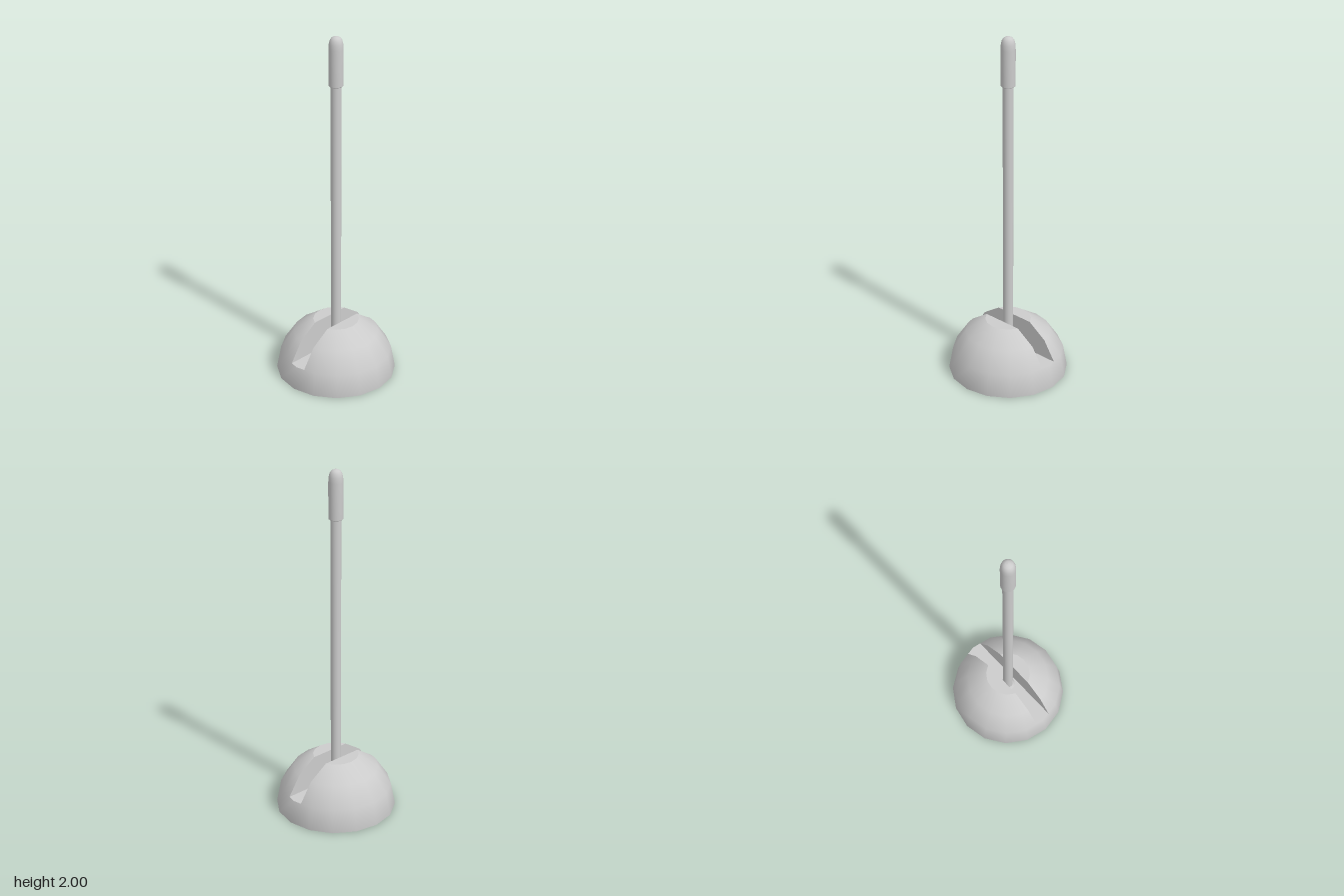
import * as THREE from 'three';

const SIDES = 16;
const SLOT = 0.05; // half width of the slot
const RINGS = [[0.318, 0.131], [0.243, 0.243], [0.131, 0.318]]; // radius, height

export function createModel() {
  const model = new THREE.Group();
  const material = new THREE.MeshStandardMaterial({ color: 0xcccccc });

  function add(name, geometry, parent = model) {
    const mesh = new THREE.Mesh(geometry, material);
    mesh.name = name;
    parent.add(mesh);
    return mesh;
  }

  // Flat convex face from its corners, in counter-clockwise order
  function flatFace(points) {
    const corners = [];
    for (let i = 1; i < points.length - 1; i++) corners.push(points[0], points[i], points[i + 1]);
    const geometry = new THREE.BufferGeometry().setFromPoints(corners);
    geometry.computeVertexNormals();
    return geometry;
  }

  // Half of a faceted ring, cut off at the slot wall
  function halfRing([r, y]) {
    const points = [];
    const step = (Math.PI * 2) / SIDES;
    for (let i = 0; i <= SIDES / 2; i++) {
      points.push(new THREE.Vector3(r * Math.sin(i * step), y, r * Math.cos(i * step)));
    }
    const last = points.length - 1;
    const t = Math.min(1, SLOT / points[1].x);
    points[0].lerp(points[1], t);
    points[last].lerp(points[last - 1], t);
    return points;
  }

  // Base of the dome, with normals that continue the sphere
  const base = new THREE.CylinderGeometry(RINGS[0][0], 0.343, RINGS[0][1], SIDES);
  base.translate(0, RINGS[0][1] / 2, 0);
  const v = new THREE.Vector3();
  for (let i = 0; i < 2 * (SIDES + 1); i++) {
    v.fromBufferAttribute(base.attributes.position, i).normalize();
    base.attributes.normal.setXYZ(i, v.x, v.y, v.z);
  }
  add('domeBase', base);

  // Two upper halves of the dome on either side of the slot
  const rings = RINGS.map(halfRing);
  const count = rings[0].length;
  const skin = new THREE.BufferGeometry().setFromPoints(rings.flat());
  const index = [];
  for (let j = 0; j < rings.length - 1; j++) {
    for (let i = 0; i < count - 1; i++) {
      const a = j * count + i;
      const d = a + count;
      index.push(a, a + 1, d, a + 1, d + 1, d);
    }
  }
  skin.setIndex(index);
  const normals = rings.flat().flatMap((p) => p.clone().normalize().toArray());
  skin.setAttribute('normal', new THREE.Float32BufferAttribute(normals, 3));
  const top = flatFace(rings[2]);
  const wall = flatFace([
    ...rings.map((ring) => ring[0]),
    ...rings.map((ring) => ring[count - 1]).reverse(),
  ]);
  for (const side of ['left', 'right']) {
    const half = new THREE.Group();
    half.name = side + 'DomeHalf';
    add(side + 'DomeSkin', skin, half);
    add(side + 'DomeTop', top, half);
    add(side + 'SlotWall', wall, half);
    if (side === 'right') half.rotation.y = Math.PI;
    model.add(half);
  }

  // Collar at the foot of the rod
  const collar = new THREE.CylinderGeometry(0.032, 0.042, 0.016, 24);
  add('collar', collar).position.y = 0.139;

  // Long thin rod
  const rod = new THREE.CylinderGeometry(0.029, 0.029, 1.61, 24);
  add('rod', rod).position.y = 0.935;

  // Grip with a rounded end
  const grip = [
    [0, 1.727], [0.036, 1.727], [0.04, 1.731], [0.04, 1.93], [0.038, 1.96],
    [0.033, 1.98], [0.024, 1.993], [0.012, 1.999], [0, 2],
  ].map(([x, y]) => new THREE.Vector2(x, y));
  add('grip', new THREE.LatheGeometry(grip, 24));

  return model;
}
